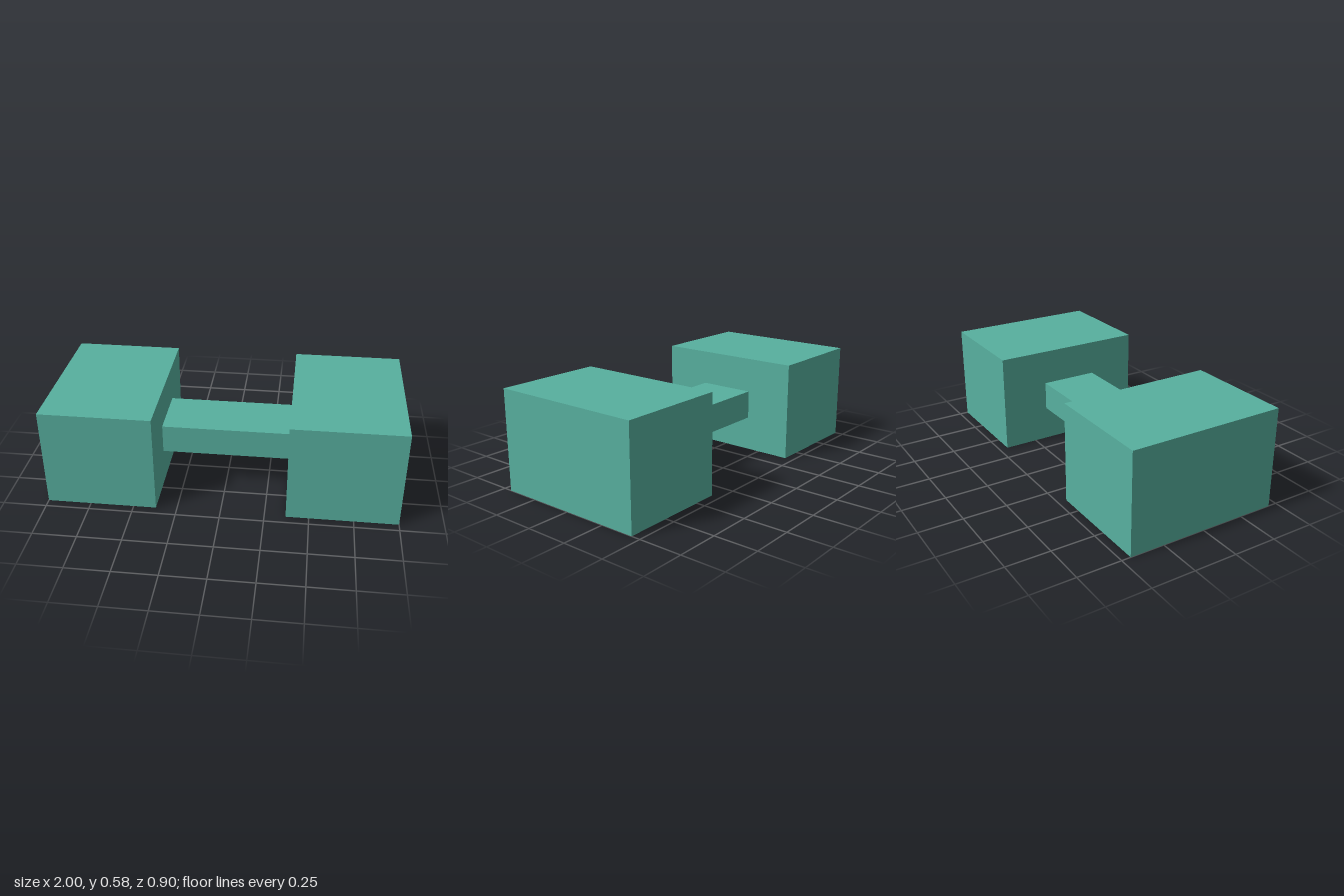
import * as THREE from 'three';

export function createModel() {
  const group = new THREE.Group();
  const teal = new THREE.MeshStandardMaterial({ color: 0x57b09f });
  teal.name = 'teal';

  const height = 0.578;
  const headWidth = 0.63;

  function addBox(name, w, h, d, x) {
    const mesh = new THREE.Mesh(new THREE.BoxGeometry(w, h, d), teal);
    mesh.name = name;
    mesh.position.set(x, height / 2, 0);
    group.add(mesh);
  }

  // Heavy block at each end
  for (const [name, side] of [['leftWeight', 1], ['rightWeight', -1]]) {
    addBox(name, headWidth, height, 0.896, side * (1 - headWidth / 2));
  }

  // Flat bar joining the inner faces of the blocks
  addBox('handle', 2 * (1 - headWidth), 0.168, 0.336, 0);

  return group;
}
